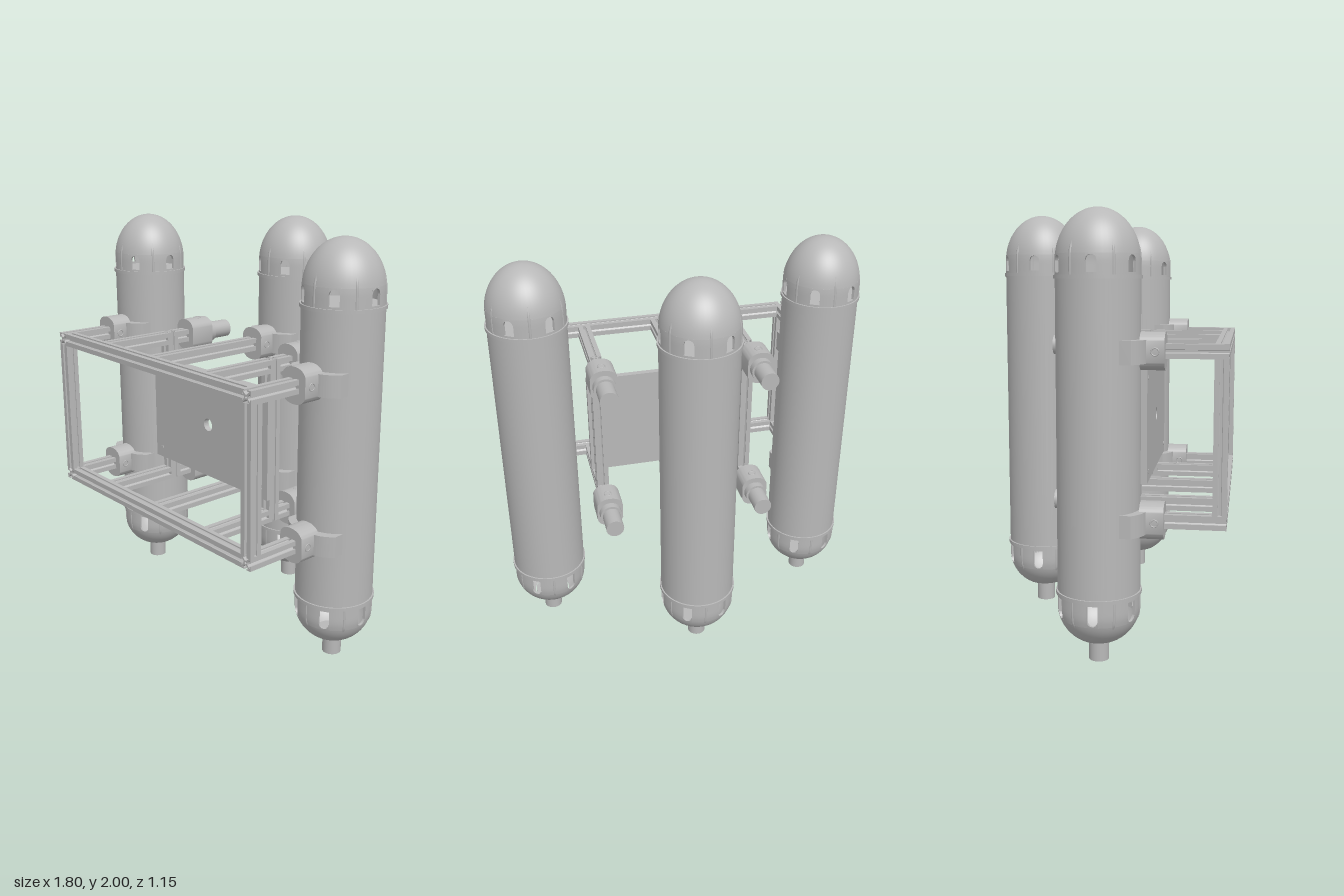
import * as THREE from 'three';
import { toCreasedNormals } from 'three/addons/utils/BufferGeometryUtils.js';

const grey = new THREE.MeshStandardMaterial({ color: 0xb8b8b8, side: THREE.DoubleSide });
grey.name = 'grey';
const R = 0.183, UP = 1.38, LOW = 0.645, BAR = 0.031;

function add(parent, name, geo, x = 0, y = 0, z = 0) {
  const m = new THREE.Mesh(geo, grey);
  m.name = name;
  m.position.set(x, y, z);
  parent.add(m);
  return m;
}

// Radius of an end cap at distance t from the tube end
const capRadius = (t, h) => R * Math.sqrt(Math.max(0, 1 - (Math.max(0, t - 0.06) / (h - 0.06)) ** 2));

// Curved piece of cap wall between angles a0 and a1, from low(u) to high, u running -1 to 1
function wallGeometry(dir, a0, a1, low, high, curveH) {
  const g = new THREE.BoxGeometry(2, 1, 0.012, 12, 6, 1);
  const p = g.attributes.position;
  for (let i = 0; i < p.count; i++) {
    const u = p.getX(i), a = dir * THREE.MathUtils.lerp(a0, a1, (u + 1) / 2);
    const t = THREE.MathUtils.lerp(low(u), high, p.getY(i) + 0.5);
    const r = capRadius(t, curveH) - 0.006 + p.getZ(i);
    p.setXYZ(i, Math.sin(a) * r, dir * t, Math.cos(a) * r);
  }
  return toCreasedNormals(g, 0.6);
}

// Round cap with six arched windows; dir +1 points up, -1 points down
function endCap(name, dir, height, curveH, win) {
  const cap = new THREE.Group();
  cap.name = name;
  const wa = win.w / R, top = win.top + 0.006;
  const arch = u => win.top - win.w * (1 - Math.sqrt(Math.max(0, 1 - u * u)));
  const pillar = wallGeometry(dir, wa - Math.PI / 6, Math.PI / 6 - wa, () => 0, top, curveH);
  const lintel = wallGeometry(dir, -wa, wa, arch, top, curveH);
  const sill = wallGeometry(dir, -wa, wa, () => 0, 0.013, curveH);
  // slim screw channel that follows the wall
  const ribPath = new THREE.CatmullRomCurve3([0, 0.05, 0.1, win.rib].map(
    (t, i) => new THREE.Vector3(0, dir * t, capRadius(t, curveH) - (i === 3 ? 0.008 : 0.005))));
  const rib = new THREE.TubeGeometry(ribPath, 10, 0.008, 8);
  for (let k = 0; k < 6; k++) {
    const a = k * Math.PI / 3;
    add(cap, 'pillar', pillar).rotation.y = a;
    add(cap, 'screwChannel', rib).rotation.y = a;
    add(cap, 'windowArch', lintel).rotation.y = a + Math.PI / 6;
    add(cap, 'windowSill', sill).rotation.y = a + Math.PI / 6;
  }
  const pts = [];
  for (let i = 0; i <= 20; i++) {
    const t = top + (height - top) * Math.sin(i / 20 * Math.PI / 2);
    pts.push(new THREE.Vector2(capRadius(t, curveH), dir * t));
  }
  if (dir < 0) pts.reverse();
  add(cap, 'dome', new THREE.LatheGeometry(pts, 48));
  return cap;
}

// Tall pressure tube with caps and nozzle
function tank(x, y, z) {
  const g = new THREE.Group();
  g.name = 'tank';
  add(g, 'tubeBody', new THREE.CylinderGeometry(R, R, 1.37, 48), 0, 1.01, 0);
  for (const cy of [0.32, 1.69]) add(g, 'collar', new THREE.CylinderGeometry(0.19, 0.19, 0.016, 48), 0, cy, 0);
  const top = endCap('topCap', 1, 0.285, 0.285, { w: 0.024, top: 0.085, rib: 0.145 });
  top.position.y = 1.695;
  const bottom = endCap('bottomCap', -1, 0.212, 0.235, { w: 0.024, top: 0.105, rib: 0.12 });
  bottom.position.y = 0.315;
  g.add(top, bottom);
  add(g, 'bottomPlate', new THREE.CylinderGeometry(0.085, 0.085, 0.008, 32), 0, 0.106, 0);
  add(g, 'nozzle', new THREE.CylinderGeometry(0.045, 0.045, 0.11, 24), 0, 0.055, 0);
  g.position.set(x, y, z);
  return g;
}

// Slotted square profile, repeated on four sides
function barShape() {
  const side = [[0.031, 0.031], [0.008, 0.031], [0.008, 0.025], [0.019, 0.025], [0.005, 0.011],
    [-0.005, 0.011], [-0.019, 0.025], [-0.008, 0.025], [-0.008, 0.031]];
  const pts = [];
  for (let k = 0; k < 4; k++) {
    for (const [x, y] of side) pts.push(new THREE.Vector2(x, y).rotateAround(new THREE.Vector2(), k * Math.PI / 2));
  }
  const s = new THREE.Shape(pts);
  const bore = new THREE.Path();
  bore.absarc(0, 0, 0.006, 0, Math.PI * 2, true);
  s.holes.push(bore);
  return s;
}
const profile = barShape();

// Profile bar from a to b along one axis
function bar(parent, name, a, b) {
  const d = new THREE.Vector3(...b).sub(new THREE.Vector3(...a));
  const geo = new THREE.ExtrudeGeometry(profile, { depth: d.length(), bevelEnabled: false, curveSegments: 4 });
  const m = add(parent, name, geo, ...a);
  if (Math.abs(d.x) > 0.01) m.rotation.y = Math.sign(d.x) * Math.PI / 2;
  if (Math.abs(d.y) > 0.01) m.rotation.x = -Math.sign(d.y) * Math.PI / 2;
}

// Block with straight sides and arched top and bottom, extruded along z
function archedBlock(w, flat, h, depth) {
  const s = new THREE.Shape();
  s.moveTo(w, -flat);
  s.lineTo(w, flat);
  s.bezierCurveTo(w * 0.85, h * 0.9, w * 0.4, h, 0, h);
  s.bezierCurveTo(-w * 0.4, h, -w * 0.85, h * 0.9, -w, flat);
  s.lineTo(-w, -flat);
  s.bezierCurveTo(-w * 0.85, -h * 0.9, -w * 0.4, -h, 0, -h);
  s.bezierCurveTo(w * 0.4, -h, w * 0.85, -h * 0.9, w, -flat);
  return toCreasedNormals(new THREE.ExtrudeGeometry(s, { depth, bevelEnabled: false }), 0.5);
}

// Saddle that hugs a tank, with the block that takes the arm
function tankClamp(x, y, z) {
  const g = new THREE.Group();
  g.name = 'tankClamp';
  const s = new THREE.Shape(), a = 0.92;
  s.absarc(0, 0, 0.183, Math.PI / 2 - a, Math.PI / 2 + a, false);
  s.lineTo(-0.148, 0.16);
  s.quadraticCurveTo(-0.11, 0.205, -0.06, 0.215);
  s.lineTo(0.06, 0.215);
  s.quadraticCurveTo(0.11, 0.205, 0.148, 0.16);
  const saddle = new THREE.ExtrudeGeometry(s, { depth: 0.1, bevelEnabled: false, curveSegments: 24 });
  add(g, 'saddle', toCreasedNormals(saddle, 0.5), 0, 0.05, 0).rotation.x = Math.PI / 2;
  add(g, 'clampBlock', archedBlock(0.068, 0.045, 0.082, 0.105), 0, 0, 0.185);
  for (const sx of [-1, 1]) {
    const screw = add(g, 'clampScrew', new THREE.TorusGeometry(0.016, 0.003, 6, 16), sx * 0.068, 0, 0.25);
    screw.rotation.y = Math.PI / 2;
  }
  g.position.set(x, y, z);
  return g;
}

// Small rear-facing nozzle on a clamp block
function jet(x, y) {
  const g = new THREE.Group();
  g.name = 'jet';
  add(g, 'jetBlock', archedBlock(0.066, 0.04, 0.082, 0.13), 0, 0, -0.1);
  add(g, 'jetCollar', new THREE.CylinderGeometry(0.056, 0.056, 0.04, 24), 0, 0, -0.115).rotation.x = Math.PI / 2;
  add(g, 'jetNozzle', new THREE.CylinderGeometry(0.045, 0.045, 0.14, 24), 0, 0, -0.175).rotation.x = Math.PI / 2;
  for (const s of [-1, 1]) add(g, 'jetScrew', new THREE.TorusGeometry(0.018, 0.004, 6, 16), 0, s * 0.08, -0.05).rotation.x = Math.PI / 2;
  g.position.set(x, y, 0);
  return g;
}

export function createModel() {
  const model = new THREE.Group();
  model.name = 'thrusterPack';
  model.add(tank(-0.71, 0, 0.015), tank(0.71, 0, 0.015), tank(0, 0.015, -0.385));

  // Frame bars, clamps and jets on both levels
  const frame = new THREE.Group();
  frame.name = 'frame';
  model.add(frame);
  const zf = 0.542;
  for (const y of [UP, LOW]) {
    bar(frame, 'crossBar', [-0.679, y, zf], [0.679, y, zf]);
    bar(frame, 'centreArm', [0, y, -0.11], [0, y, 0.511]);
    model.add(tankClamp(0, y, -0.385));
    for (const s of [-1, 1]) {
      bar(frame, 'sideArm', [s * 0.71, y, 0.28], [s * 0.71, y, zf + BAR]);
      bar(frame, 'jetArm', [s * 0.387, y, 0.165], [s * 0.387, y, 0.511]);
      bar(frame, 'jetStub', [s * 0.387, y, 0.02], [s * 0.387, y, 0.103]);
      model.add(tankClamp(s * 0.71, y, 0.015), jet(s * 0.387, y));
    }
  }
  for (const s of [-1, 1]) {
    bar(frame, 'cornerPost', [s * 0.71, LOW + BAR, zf], [s * 0.71, UP - BAR, zf]);
    bar(frame, 'platePost', [s * 0.387, LOW - BAR, 0.134], [s * 0.387, UP + BAR, 0.134]);
  }

  // Back plate with centre hole and corner screws
  const s = new THREE.Shape();
  s.moveTo(-0.435, -0.27);
  s.lineTo(0.435, -0.27);
  s.lineTo(0.435, 0.27);
  s.lineTo(-0.435, 0.27);
  const hole = new THREE.Path();
  hole.absarc(0, 0, 0.032, 0, Math.PI * 2, true);
  s.holes.push(hole);
  add(model, 'plate', new THREE.ExtrudeGeometry(s, { depth: 0.03, bevelEnabled: false }), 0, 1.01, 0.166);
  for (const sx of [-1, 1]) for (const sy of [-1, 1]) {
    add(model, 'plateScrew', new THREE.CylinderGeometry(0.012, 0.012, 0.004, 12), sx * 0.387, 1.01 + sy * 0.22, 0.196).rotation.x = Math.PI / 2;
  }
  return model;
}
